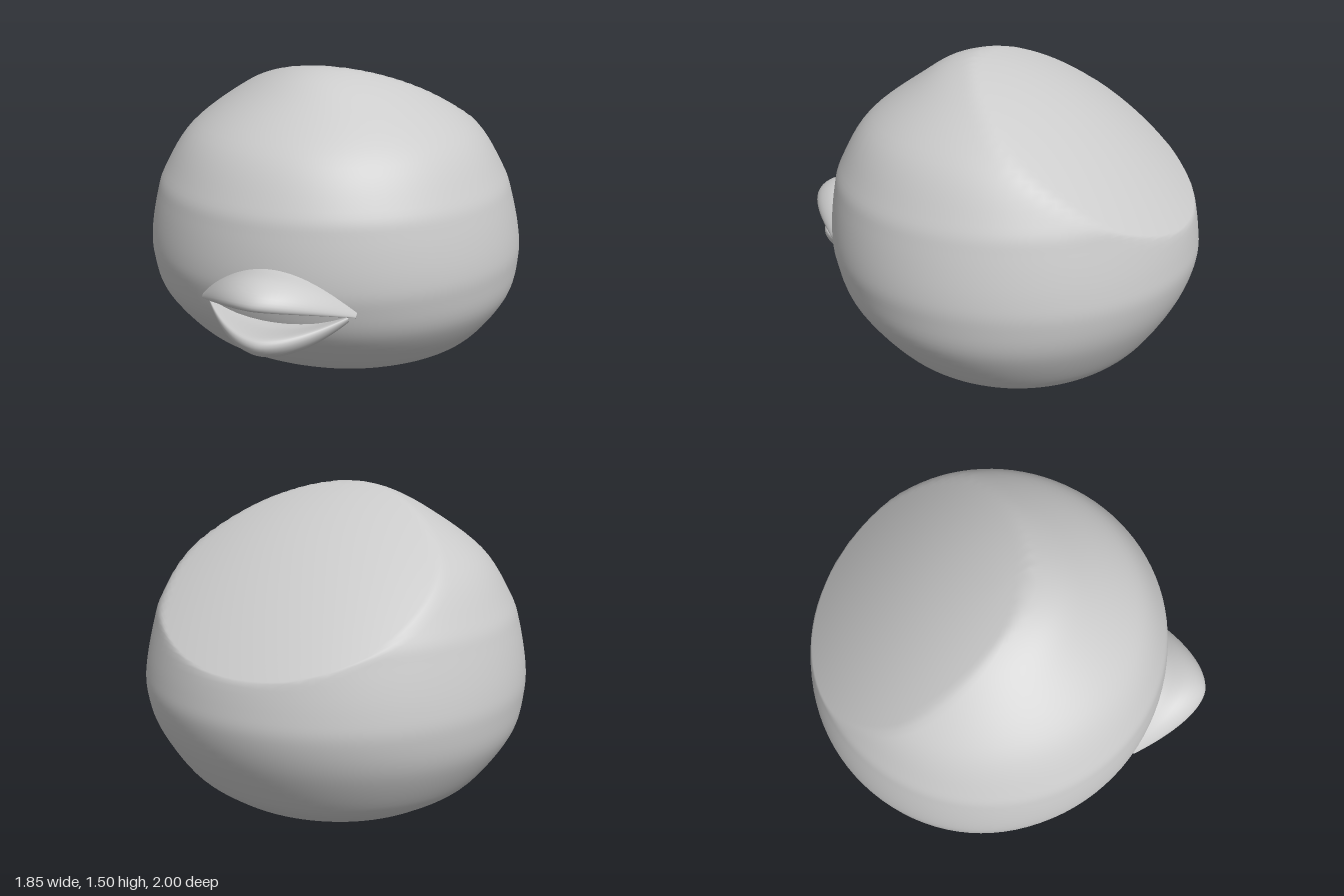
import * as THREE from 'three';
import { mergeVertices } from 'three/addons/utils/BufferGeometryUtils.js';

const material = new THREE.MeshStandardMaterial({ color: 0xcccccc });

// Smooth surface from a point rule; (du x dv) faces outward.
function surface(nu, nv, pointAt) {
  const pos = [], index = [];
  for (let i = 0; i <= nu; i++)
    for (let j = 0; j <= nv; j++) pos.push(...pointAt(i / nu, j / nv));
  for (let i = 0; i < nu; i++)
    for (let j = 0; j < nv; j++) {
      const a = i * (nv + 1) + j, b = a + nv + 1;
      index.push(a, b, b + 1, a, b + 1, a + 1);
    }
  let geo = new THREE.BufferGeometry();
  geo.setAttribute('position', new THREE.Float32BufferAttribute(pos, 3));
  geo.setIndex(index);
  geo = mergeVertices(geo, 1e-5);
  geo.computeVertexNormals();
  return geo;
}

// Horizontal levels of the body: height, half width, front z, back z
const levels = [
  [0.005, 0, -0.2, -0.2], [0.02, 0.38, 0.1, -0.49], [0.05, 0.5, 0.24, -0.62],
  [0.1, 0.61, 0.36, -0.71], [0.2, 0.75, 0.52, -0.82], [0.4, 0.885, 0.7, -0.94],
  [0.57, 0.92, 0.77, -0.995], [0.7, 0.915, 0.785, -0.99], [0.88, 0.875, 0.768, -0.955],
  [1.0, 0.83, 0.735, -0.92], [1.2, 0.7, 0.61, -0.8], [1.38, 0.46, 0.37, -0.58],
  [1.48, 0.24, 0.2, -0.38], [1.53, 0, -0.03, -0.03],
];

function bodyGeometry() {
  const side = new THREE.SplineCurve(levels.map(l => new THREE.Vector2(l[0], l[1])));
  const ends = new THREE.SplineCurve(levels.map(l => new THREE.Vector2(l[2], l[3])));
  return surface(96, 78, (u, v) => {
    const angle = (u % 1) * Math.PI * 2;
    const s = side.getPoint(v), e = ends.getPoint(v);
    const x = s.y * Math.sin(angle);
    const z = (e.x + e.y) / 2 + (e.x - e.y) / 2 * Math.cos(angle);
    // flattened, gently curved slope at the upper back
    const t = Math.max(0, 0.09 - z);
    const slope = 1.51 - 0.226 * t - 0.414 * t * t - 0.3 * x * x;
    return [x, Math.min(s.x, slope), z];
  });
}

// One half of the beak, lofted across x; dir is +1 for the upper, -1 for the lower.
function beakGeometry({ dir, halfWidth, reach, rim, rimRise, outer, outerRise }) {
  const back = 0.6;
  return surface(48, 28, (u, v) => {
    const s = -Math.cos(u * Math.PI) * dir;
    const f = 1 - s * s;
    const tip = 0.715 + reach * (1 - Math.abs(s) ** 1.75);
    const inY = rim + rimRise * f;
    const outY = outer + outerRise * f;
    const h = outY - inY;
    const at = (z, k) => new THREE.Vector3(0, inY + h * k, back + (tip - back) * z);
    const section = new THREE.CatmullRomCurve3([
      at(0, 0.12), at(0.5, 0.1), at(0.9, 0), at(0.98, 0.06), at(1, 0.28),
      at(0.93, 0.62), at(0.75, 0.93), at(0.5, 1), at(0, 0.95),
    ], true);
    const p = section.getPoint(v % 1);
    return [s * halfWidth, p.y, p.z];
  });
}

export function createModel() {
  const model = new THREE.Group();
  model.name = 'roundBirdHead';
  const add = (name, geometry) => {
    const mesh = new THREE.Mesh(geometry, material);
    mesh.name = name;
    model.add(mesh);
  };

  add('body', bodyGeometry());
  add('upperBeak', beakGeometry({
    dir: 1, halfWidth: 0.36, reach: 0.285, rim: 0.545, rimRise: 0.09, outer: 0.57, outerRise: 0.18,
  }));
  add('lowerBeak', beakGeometry({
    dir: -1, halfWidth: 0.325, reach: 0.255, rim: 0.545, rimRise: -0.045, outer: 0.515, outerRise: -0.135,
  }));
  return model;
}
